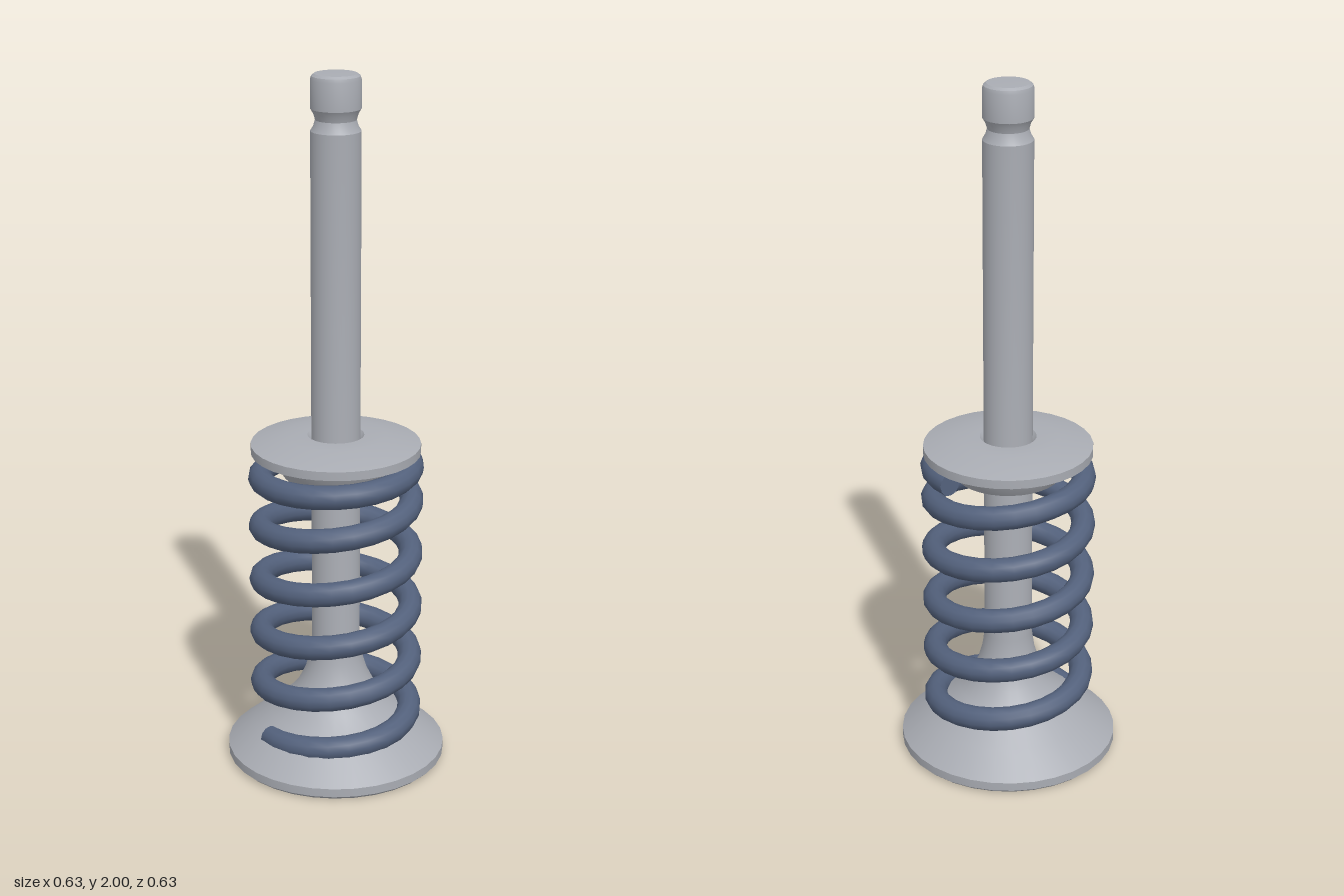
import * as THREE from 'three';
import { toCreasedNormals } from 'three/addons/utils/BufferGeometryUtils.js';

// Coil centreline: starts at the front, rises anticlockwise, flatter end turns
class Coil extends THREE.Curve {
  getPoint(t, target = new THREE.Vector3()) {
    const turns = THREE.MathUtils.lerp(-0.08, 11.03, t); // in half turns
    const a = turns * Math.PI;
    let y;
    if (turns < 0.5) y = 0.125 + (turns - 0.5) * 0.06;
    else if (turns < 9.5) y = 0.125 + (turns - 0.5) * 0.0808;
    else y = 0.852 + (turns - 9.5) * 0.033;
    return target.set(0.215 * Math.sin(a), y, 0.215 * Math.cos(a));
  }
}

export function createModel() {
  const model = new THREE.Group();
  model.name = 'engineValve';

  const steel = new THREE.MeshStandardMaterial({ color: 0xa9acb3 });
  steel.name = 'steel';
  const blueSteel = new THREE.MeshStandardMaterial({ color: 0x53617c });
  blueSteel.name = 'blueSteel';

  const add = (name, geometry, material) => {
    const mesh = new THREE.Mesh(geometry, material);
    mesh.name = name;
    model.add(mesh);
    return mesh;
  };
  const lathe = (points) => toCreasedNormals(
    new THREE.LatheGeometry(points.map(([r, y]) => new THREE.Vector2(r, y)), 32), 0.42);

  // Flared head and stem with a keeper groove near the tip
  add('valve', lathe([
    [0, 0], [0.305, 0], [0.316, 0.01], [0.316, 0.035],
    [0.24, 0.098], [0.19, 0.137], [0.145, 0.175], [0.113, 0.213],
    [0.09, 0.26], [0.077, 0.305], [0.069, 0.36],
    [0.069, 1.845], [0.061, 1.858], [0.056, 1.875], [0.061, 1.892], [0.069, 1.905],
    [0.069, 1.982], [0.066, 1.992], [0.058, 1.998], [0, 2],
  ]), steel);

  // Retainer plate with a boss that centres the coil
  add('retainer', lathe([
    [0.069, 0.87], [0.15, 0.87], [0.17, 0.9], [0.185, 0.935],
    [0.24, 0.935], [0.24, 0.96], [0.14, 0.985], [0.08, 0.985], [0.069, 0.972],
  ]), steel);

  // Coil spring
  const coil = new Coil();
  const wire = 0.034;
  add('spring', new THREE.TubeGeometry(coil, 144, wire, 12, false), blueSteel);

  // Flat wire ends
  for (const [t, sign] of [[0, -1], [1, 1]]) {
    const cap = add('springEnd', new THREE.CircleGeometry(wire, 12), blueSteel);
    const end = coil.getPoint(t);
    cap.position.copy(end);
    cap.lookAt(end.clone().addScaledVector(coil.getTangent(t), sign));
  }

  return model;
}
